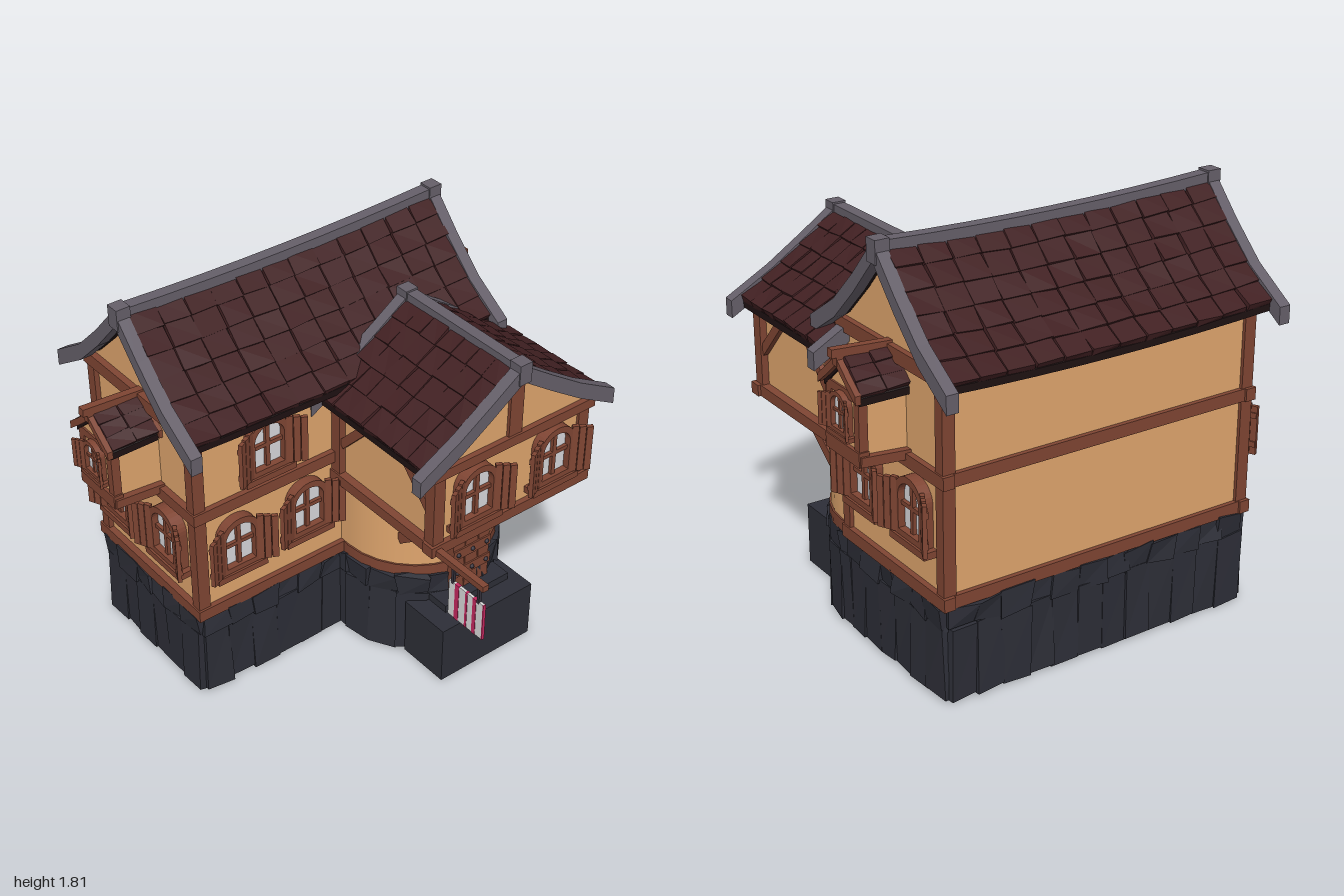
import * as THREE from 'three';
import { mergeGeometries } from 'three/addons/utils/BufferGeometryUtils.js';

const mat = (name, color) => {
  const m = new THREE.MeshStandardMaterial({ color });
  m.name = name;
  return m;
};
const M = {
  plaster: mat('plaster', 0xdfa56d), wood: mat('wood', 0x7f4533), tile: mat('roof tile', 0x412022),
  gap: mat('dark roof gap', 0x1e1112), stone: mat('dark stone', 0x2d2e37), trim: mat('grey trim', 0x655f69),
  glass: mat('glass', 0xd8d8dc), iron: mat('iron', 0x35303a), cloth: mat('cloth', 0xdadada), pink: mat('pink stripe', 0xc5285f),
};
let seed = 7;
const rnd = () => ((seed = (seed * 16807) % 2147483647) / 2147483647);
const jit = (a) => (rnd() - 0.5) * 2 * a;

function add(parent, name, geo, m, x = 0, y = 0, z = 0) {
  const mesh = new THREE.Mesh(geo, m);
  mesh.name = name;
  mesh.position.set(x, y, z);
  parent.add(mesh);
  return mesh;
}
// Box given by its extents
const box = (p, name, m, x0, x1, y0, y1, z0, z1) =>
  add(p, name, new THREE.BoxGeometry(x1 - x0, y1 - y0, z1 - z0), m, (x0 + x1) / 2, (y0 + y1) / 2, (z0 + z1) / 2);

// Box with its eight corners nudged
function roughBox(w, h, d, a) {
  const g = new THREE.BoxGeometry(w, h, d).toNonIndexed();
  const off = Array.from({ length: 8 }, () => [jit(a), jit(a), jit(a)]);
  const p = g.attributes.position;
  for (let i = 0; i < p.count; i++) {
    const o = off[(p.getX(i) > 0) + 2 * (p.getY(i) > 0) + 4 * (p.getZ(i) > 0)];
    p.setXYZ(i, p.getX(i) + o[0], p.getY(i) + o[1], p.getZ(i) + o[2]);
  }
  g.computeVertexNormals();
  return g;
}
const extrude = (shape, depth, steps = 1) =>
  new THREE.ExtrudeGeometry(shape, { depth, steps, bevelEnabled: false, curveSegments: 8 }).translate(0, 0, -depth / 2);
const polygon = (pts) => new THREE.Shape(pts.map((p) => new THREE.Vector2(p[0], p[1])));
const mirrored = (prof, dy) => [...prof.slice().reverse().map(([x, y]) => [-x, y + dy]), ...prof.slice(1).map(([x, y]) => [x, y + dy])];
const chevron = (prof, up, down) => polygon([...mirrored(prof, up), ...mirrored(prof, -down).reverse()]);

// Roof with its ridge along z; prof runs from ridge to eave
function roof(prof, eave, len, rows, cols, trimMat, tw, sag = 0) {
  const g = new THREE.Group();
  const bend = (geo) => {
    const p = geo.attributes.position;
    for (let i = 0; i < p.count; i++) p.setY(i, p.getY(i) - sag * (1 - (2 * p.getZ(i) / len) ** 2));
    geo.computeVertexNormals();
    return geo;
  };
  const cover = prof.slice(0, -1).concat([eave]);
  add(g, 'roofDeck', bend(extrude(chevron(cover, -0.005, 0.035), len, 8)), M.gap);
  const curve = new THREE.CatmullRomCurve3(cover.map(([x, y]) => new THREE.Vector3(x, y, 0)));
  const tiles = [], w = len / cols;
  for (const s of [-1, 1]) for (let r = 0; r < rows; r++) for (let c = 0; c < cols; c++) {
    const a = curve.getPointAt(r / rows), b = curve.getPointAt((r + 1) / rows);
    const t = roughBox(a.distanceTo(b) * 1.05, 0.03, w * 0.96, 0.004);
    t.rotateZ(s * (Math.atan2(b.y - a.y, b.x - a.x) + 0.08));
    t.translate(s * (a.x + b.x) / 2, (a.y + b.y) / 2 + 0.004, -len / 2 + (c + 0.5) * w + jit(0.003));
    tiles.push(bend(t));
  }
  add(g, 'roofTiles', mergeGeometries(tiles), M.tile);
  for (const s of [-1, 1]) {
    add(g, 'gableTrim', extrude(chevron(prof, tw * 0.55, tw * 0.9), tw), trimMat, 0, 0, s * (len / 2 + tw * 0.4));
    box(g, 'ridgeBlock', trimMat, -tw * 0.6, tw * 0.6, prof[0][1] - tw, prof[0][1] + tw * 0.8,
      s * (len / 2 + tw * 0.4) - tw * 0.6, s * (len / 2 + tw * 0.4) + tw * 0.6);
  }
  const ridge = bend(new THREE.BoxGeometry(tw, tw, len, 1, 1, 8).toNonIndexed());
  add(g, 'ridge', ridge, trimMat, 0, prof[0][1] + tw * 0.15, 0);
  return g;
}

function arch(hw, bottom, spring, rise, C = THREE.Shape) {
  const s = new C();
  s.moveTo(-hw, bottom).lineTo(hw, bottom).lineTo(hw, spring);
  s.absellipse(0, spring, hw, rise, 0, Math.PI, false);
  return s;
}
// Arched window facing +z with open shutters
function makeWindow(parent, x, y, z, ry = 0, scale = 1) {
  const g = new THREE.Group();
  g.name = 'window';
  const frame = arch(0.098, -0.12, 0.055, 0.09);
  frame.holes.push(arch(0.073, -0.095, 0.05, 0.065, THREE.Path));
  add(g, 'windowFrame', extrude(frame, 0.06), M.wood, 0, 0, 0.015);
  add(g, 'windowGlass', extrude(arch(0.08, -0.11, 0.055, 0.07), 0.008), M.glass, 0, 0, 0.01);
  box(g, 'mullion', M.wood, -0.01, 0.01, -0.11, 0.12, 0, 0.03);
  box(g, 'crossbar', M.wood, -0.08, 0.08, 0.002, 0.02, 0, 0.03);
  box(g, 'sill', M.wood, -0.125, 0.125, -0.15, -0.12, -0.015, 0.055);
  for (const s of [-1, 1]) {
    const sh = new THREE.Group();
    sh.name = 'shutter';
    for (let i = 0; i < 3; i++) {
      const top = 0.115 - 0.006 * i, c = s * (0.015 + i * 0.031);
      box(sh, 'shutterPlank', M.wood, c - 0.014, c + 0.014, -0.115, top, -0.009, 0.009);
    }
    for (const y0 of [-0.08, 0.05]) box(sh, 'shutterRail', M.wood, s * 0.046 - 0.043, s * 0.046 + 0.043, y0, y0 + 0.025, -0.015, 0.002);
    sh.position.set(s * 0.085, 0, 0.036);
    sh.rotation.y = -s * 0.45;
    g.add(sh);
  }
  g.position.set(x, y, z);
  g.rotation.y = ry;
  g.scale.setScalar(scale);
  parent.add(g);
}
// Square beam between two points
function beam(p, name, a, b, w) {
  const A = new THREE.Vector3(...a), B = new THREE.Vector3(...b);
  const m = add(p, name, new THREE.BoxGeometry(w, w, A.distanceTo(B)), M.wood);
  m.position.copy(A).add(B).multiplyScalar(0.5);
  m.lookAt(B);
}

export function createModel() {
  const g = new THREE.Group();
  g.name = 'house';
  const ZC = -0.415, XC = 0.38;

  // Stone foundation: blocks along the outline, hollow below
  const line = [[0.725, -0.765], [-0.72, -0.765], [-0.72, -0.065], [0.02, -0.065]];
  for (let i = 0; i <= 9; i++) line.push([XC - 0.355 * Math.cos(i * Math.PI / 9), 0.355 * Math.sin(i * Math.PI / 9)]);
  line.push([0.725, -0.065], [0.725, -0.765]);
  const low = [], high = [];
  for (let i = 0; i + 1 < line.length; i++) {
    const [ax, az] = line[i], [bx, bz] = line[i + 1];
    const L = Math.hypot(bx - ax, bz - az), n = Math.max(1, Math.round(L / 0.12));
    for (let k = 0; k < n; k++) {
      const t = (k + 0.5) / n, x = ax + (bx - ax) * t, z = az + (bz - az) * t, r = -Math.atan2(bz - az, bx - ax);
      low.push(roughBox(L / n + 0.008, 0.32, 0.05, 0.008).rotateY(r + jit(0.05)).translate(x, 0.172, z));
      high.push(roughBox(L / n + 0.015, 0.1, 0.058, 0.014).rotateY(r + jit(0.06)).translate(x, 0.377, z));
    }
  }
  add(g, 'foundationSlabs', mergeGeometries(low), M.stone);
  add(g, 'foundationCap', mergeGeometries(high), M.stone);
  box(g, 'lowerStep', M.stone, 0.11, 0.62, 0.01, 0.29, 0.28, 0.53);
  box(g, 'upperStep', M.stone, 0.2, 0.56, 0.29, 0.325, 0.3, 0.44);

  // Main body with gables
  const mainProf = [[0, 1.77], [0.15, 1.605], [0.3, 1.46], [0.49, 1.335]];
  const wall = [[-0.36, 0.42], [0.36, 0.42], [0.36, 1.38], [0.3, 1.42], [0.15, 1.565], [0, 1.73], [-0.15, 1.565], [-0.3, 1.42], [-0.36, 1.38]];
  const body = add(g, 'mainWalls', extrude(polygon(wall), 1.46), M.plaster, 0.01, 0, ZC);
  body.rotation.y = Math.PI / 2;
  const mainRoof = roof(mainProf, [0.43, 1.367], 1.53, 6, 12, M.trim, 0.053, 0.02);
  mainRoof.name = 'mainRoof';
  mainRoof.rotation.y = Math.PI / 2;
  mainRoof.position.z = ZC;
  g.add(mainRoof);

  // Main timber frame
  for (const x of [-0.715, 0.73]) for (const z of [-0.765, -0.065]) box(g, 'cornerPost', M.wood, x - 0.028, x + 0.028, 0.43, 1.36, z - 0.025, z + 0.025);
  for (const [y0, y1] of [[0.425, 0.48], [0.935, 0.99], [1.335, 1.395]]) {
    for (const x of [-0.725, 0.74]) box(g, 'sideRail', M.wood, x - 0.025, x + 0.025, y0, y1, -0.805, -0.035);
    box(g, 'backRail', M.wood, -0.75, 0.765, y0, Math.min(y1, 1.37), -0.795, -0.76);
    if (y0 < 1.2) box(g, 'frontRail', M.wood, -0.75, 0.04, y0, y1, -0.07, -0.03);
  }

  // Rounded entrance storey
  add(g, 'roundWall', new THREE.CylinderGeometry(0.362, 0.362, 0.43, 28), M.plaster, XC, 0.645, 0);
  box(g, 'entranceWall', M.plaster, 0.018, 0.742, 0.43, 0.86, -0.08, 0);
  add(g, 'roundRail', new THREE.CylinderGeometry(0.37, 0.37, 0.055, 28), M.wood, XC, 0.452, 0);

  // Door
  [[0.28, 0.345, 0.64], [0.35, 0.42, 0.645], [0.425, 0.485, 0.64]].forEach(([a, b, top]) => box(g, 'doorPlank', M.wood, a, b, 0.325, top, 0.34, 0.385));
  for (const y of [0.425, 0.525]) {
    box(g, 'doorBand', M.wood, 0.28, 0.49, y - 0.025, y + 0.025, 0.38, 0.392);
    for (const x of [0.305, 0.385, 0.465]) add(g, 'doorRivet', new THREE.SphereGeometry(0.011, 8, 6), M.iron, x, y, 0.393);
  }

  // Overhanging front storey
  const wingProf = [[0, 1.575], [0.16, 1.465], [0.32, 1.36], [0.52, 1.25]];
  const wing = [[-0.385, 0.85], [0.385, 0.85], [0.385, 1.29], [0, 1.54], [-0.385, 1.29]];
  add(g, 'wingWalls', extrude(polygon(wing), 0.67), M.plaster, XC, 0, 0.26);
  const wingRoof = roof(wingProf, [0.465, 1.275], 0.65, 5, 7, M.trim, 0.052);
  wingRoof.name = 'wingRoof';
  wingRoof.position.set(XC, 0, 0.27);
  g.add(wingRoof);
  for (const [y0, y1] of [[0.84, 0.89], [1.215, 1.26]]) {
    box(g, 'wingFrontRail', M.wood, -0.05, 0.815, y0, y1, 0.56, 0.62);
    for (const s of [-1, 1]) box(g, 'wingSideRail', M.wood, XC + s * 0.395 - 0.028, XC + s * 0.395 + 0.028, y0, y1, -0.09, 0.62);
  }
  for (const s of [-1, 1]) {
    const x = XC + s * 0.388;
    for (const z of [0.58, -0.025]) box(g, 'wingPost', M.wood, x - 0.028, x + 0.028, 0.85, 1.25, z - 0.028, z + 0.028);
    beam(g, 'wallBrace', [x, 1.04, 0.56], [x, 1.22, 0.39], 0.04);
    beam(g, 'wallBrace', [x, 1.04, 0], [x, 1.22, 0.17], 0.04);
    beam(g, 'floorBrace', [XC + s * 0.255, 0.85, 0.53], [XC + s * 0.255, 0.62, 0.23], 0.05);
  }
  box(g, 'kingPost', M.wood, 0.345, 0.415, 1.25, 1.53, 0.57, 0.61);

  // Windows
  makeWindow(g, -0.38, 1.18, -0.055);
  makeWindow(g, -0.54, 0.75, -0.055);
  makeWindow(g, -0.185, 0.765, -0.055);
  for (const x of [0.17, 0.59]) makeWindow(g, x, 1.07, 0.6);
  for (const z of [-0.235, -0.595]) {
    makeWindow(g, 0.745, 0.77, z, Math.PI / 2);
    makeWindow(g, -0.735, 0.77, z, -Math.PI / 2);
  }

  // Side bays, built facing +z and turned outwards
  for (const s of [-1, 1]) {
    const b = new THREE.Group();
    b.name = 'sideBay';
    const shape = polygon([[-0.105, 0.98], [0.105, 0.98], [0.105, 1.25], [0, 1.35], [-0.105, 1.25]]);
    add(b, 'bayWalls', extrude(shape, 0.23), M.plaster, 0, 0, 0.085);
    for (const x of [-0.115, 0.115]) beam(b, 'bayFloorBeam', [x, 0.98, -0.02], [x, 1, 0.21], 0.04);
    box(b, 'baySill', M.wood, -0.125, 0.125, 0.975, 1.035, 0.17, 0.215);
    box(b, 'bayTie', M.wood, -0.12, 0.12, 1.225, 1.26, 0.18, 0.208);
    for (const x of [-0.1, 0.1]) box(b, 'bayPost', M.wood, x - 0.018, x + 0.018, 1, 1.25, 0.17, 0.208);
    const r = roof([[0, 1.375], [0.07, 1.315], [0.14, 1.26]], [0.13, 1.26], 0.22, 3, 2, M.wood, 0.025);
    r.name = 'bayRoof';
    r.position.z = 0.1;
    b.add(r);
    beam(b, 'bayRidge', [0, 1.385, -0.05], [0, 1.405, 0.255], 0.034);
    makeWindow(b, 0, 1.155, 0.205, 0, 0.62);
    b.position.set(s * 0.745, 0, ZC + 0.005);
    b.rotation.y = s * Math.PI / 2;
    g.add(b);
  }

  // Hanging cloth sign
  box(g, 'signPole', M.wood, -0.03, 0, 0.845, 0.873, 0.58, 0.905);
  for (const z of [0.715, 0.87]) box(g, 'signHanger', M.iron, -0.021, -0.009, 0.76, 0.85, z - 0.007, z + 0.007);
  box(g, 'signCloth', M.cloth, -0.02, -0.008, 0.59, 0.77, 0.695, 0.9);
  for (const [z, w] of [[0.85, 0.02], [0.802, 0.012], [0.745, 0.024]]) box(g, 'signStripe', M.pink, -0.022, -0.006, 0.589, 0.771, z - w / 2, z + w / 2);
  box(g, 'signEdge', M.pink, -0.021, -0.007, 0.59, 0.77, 0.898, 0.903);
  return g;
}
